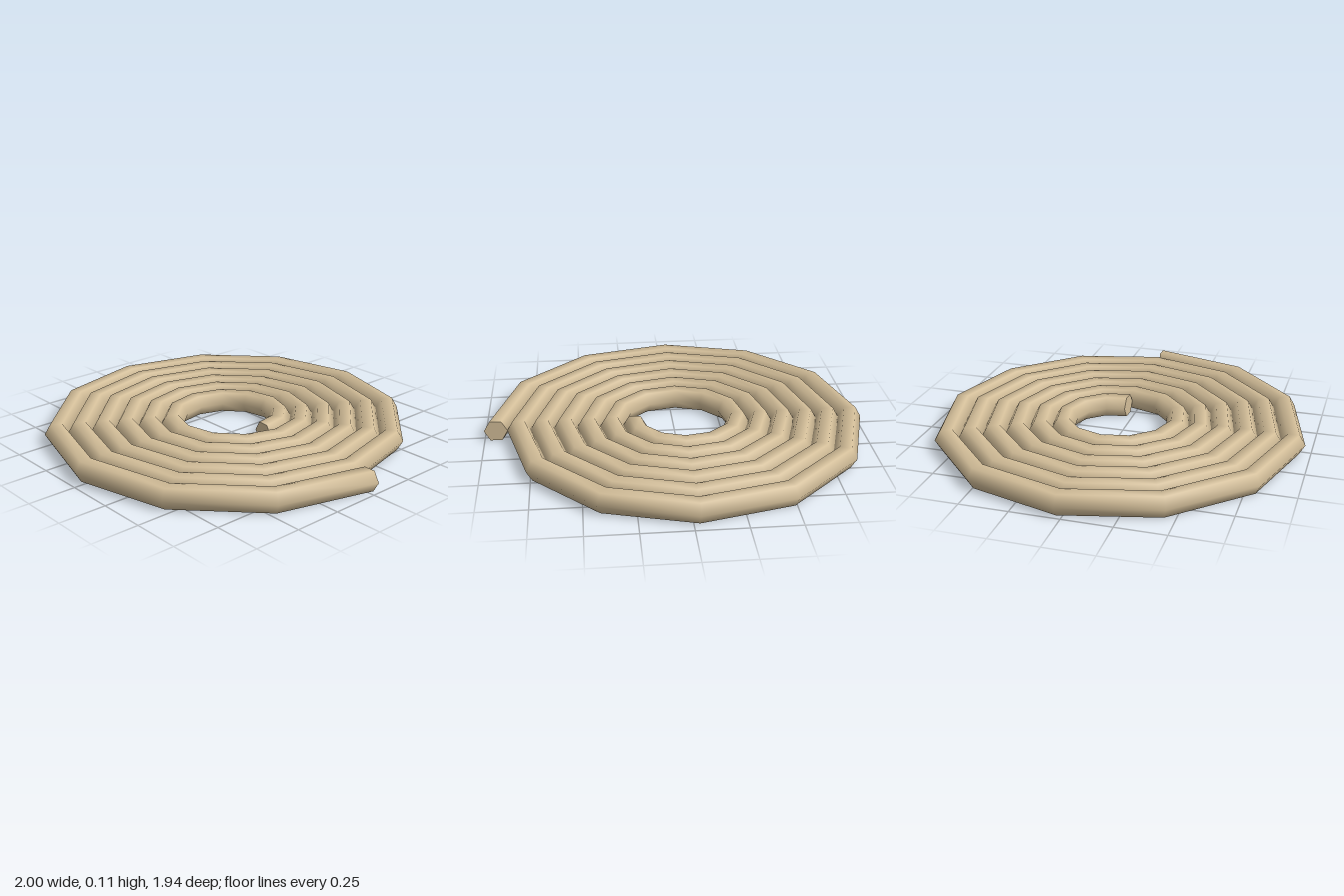
import * as THREE from 'three';
import { toCreasedNormals } from 'three/addons/utils/BufferGeometryUtils.js';

const TURNS = 6;
const STEPS_PER_TURN = 12;
const INNER = 0.2425;   // centre-line radius at the inner end
const PITCH = 0.1213;   // growth of the radius per turn
const ROPE = 0.0615;    // radius of the six-sided rope

// Bends a straight six-sided prism along a flat spiral
function spiralRope() {
  const geo = new THREE.CylinderGeometry(1, 1, 1, 6, TURNS * STEPS_PER_TURN);
  const pos = geo.attributes.position;
  const v = new THREE.Vector3();
  const growth = PITCH / (2 * Math.PI);
  const offset = -PITCH / 4;             // centres the spiral's bounds
  const middle = ROPE * Math.sqrt(3) / 2; // flat side rests on the ground

  for (let i = 0; i < pos.count; i++) {
    v.fromBufferAttribute(pos, i);
    const a = (v.y + 0.5) * TURNS * 2 * Math.PI;
    const r = INNER + growth * a;
    const c = Math.cos(a), s = Math.sin(a);
    // Direction of travel; the sideways axis is square to it
    const tangent = new THREE.Vector3(growth * c - r * s, 0, -growth * s - r * c).normalize();
    pos.setXYZ(
      i,
      offset + r * c + tangent.z * v.z * ROPE,
      middle + v.x * ROPE,
      offset - r * s - tangent.x * v.z * ROPE
    );
  }
  // Smooth around the rope, sharp at the two cut ends
  return toCreasedNormals(geo, 1.3);
}

export function createModel() {
  const group = new THREE.Group();
  group.name = 'coiledRopeMat';
  const material = new THREE.MeshStandardMaterial({ color: 0xd2bd98 });
  const rope = new THREE.Mesh(spiralRope(), material);
  rope.name = 'coiledRope';
  group.add(rope);
  return group;
}
